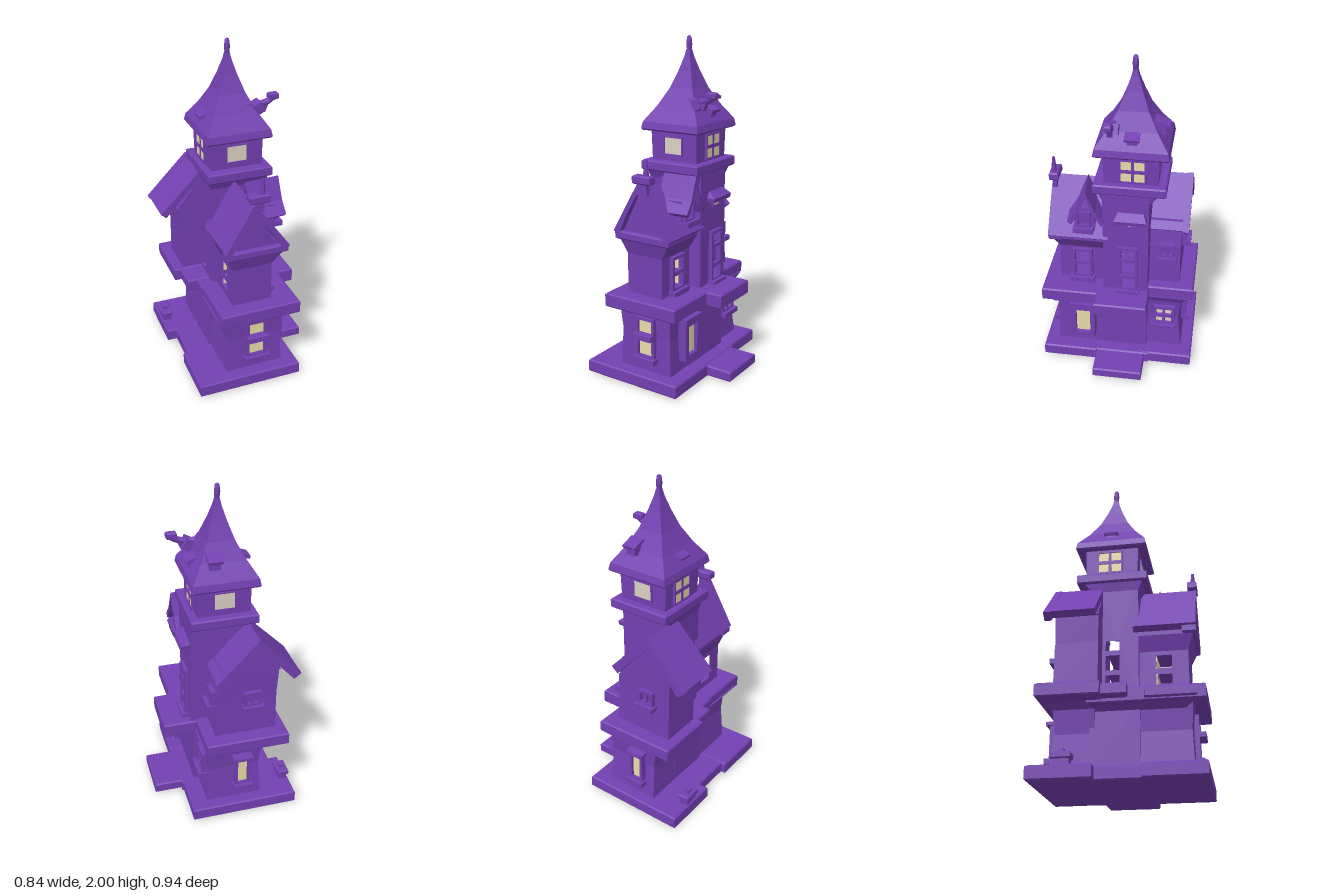
import * as THREE from 'three';

const mat = (name, color) => {
  const m = new THREE.MeshStandardMaterial({ color });
  m.name = name;
  return m;
};

export function createModel() {
  const purple = mat('purple plaster', 0x7340b2);
  const glow = mat('yellow glass', 0xf0e6b0);
  const pale = mat('pale glass', 0xdad2c4);
  const root = new THREE.Group();
  root.name = 'crookedTowerHouse';

  const add = (name, geo, material = purple, parent = root) => {
    const m = new THREE.Mesh(geo, material);
    m.name = name;
    parent.add(m);
    return m;
  };
  const box = (name, x0, x1, y0, y1, z0, z1, parent = root, material = purple) => {
    const m = add(name, new THREE.BoxGeometry(x1 - x0, y1 - y0, z1 - z0), material, parent);
    m.position.set((x0 + x1) / 2, (y0 + y1) / 2, (z0 + z1) / 2);
    return m;
  };

  // Stack of rectangles, each row [y, x0, x1, z0, z1], joined into a closed solid
  const loft = (name, rows) => {
    const rings = rows.map(([y, a, b, c, d]) => [[a, y, d], [b, y, d], [b, y, c], [a, y, c]]);
    const pos = [];
    const quad = (a, b, c, d) => pos.push(...a, ...b, ...c, ...a, ...c, ...d);
    for (let i = 0; i + 1 < rings.length; i++)
      for (let k = 0; k < 4; k++) {
        const n = (k + 1) % 4;
        quad(rings[i][k], rings[i][n], rings[i + 1][n], rings[i + 1][k]);
      }
    quad(...[...rings[0]].reverse());
    quad(...rings[rings.length - 1]);
    const g = new THREE.BufferGeometry();
    g.setAttribute('position', new THREE.Float32BufferAttribute(pos, 3));
    g.computeVertexNormals();
    return add(name, g);
  };
  // Slab with softened top and bottom edges
  const slab = (name, x0, x1, y0, y1, z0, z1, e = 0.008) => loft(name, [
    [y0, x0 + e, x1 - e, z0 + e, z1 - e], [y0 + e, x0, x1, z0, z1],
    [y1 - e, x0, x1, z0, z1], [y1, x0 + e, x1 - e, z0 + e, z1 - e]]);

  // Wall block along x with openings [z0, z1, y0, y1] cut right through
  const piercedWall = (name, x0, x1, z0, z1, y0, y1, holes) => {
    const path = (P, a, b, c, d) => {
      const p = new P();
      p.moveTo(-a, c); p.lineTo(-b, c); p.lineTo(-b, d); p.lineTo(-a, d); p.closePath();
      return p;
    };
    const s = path(THREE.Shape, z0, z1, y0, y1);
    holes.forEach(h => s.holes.push(path(THREE.Path, ...h)));
    const m = add(name, new THREE.ExtrudeGeometry(s, { depth: x1 - x0, bevelEnabled: false }));
    m.rotation.y = Math.PI / 2;
    m.position.x = x0;
  };

  // Gable roof as an extruded chevron with square-cut eaves; ridge runs along local z
  const gable = (name, left, peak, right, t, depth, kick = 0) => {
    const mid = (a) => [(a[0] + peak[0]) / 2, (a[1] + peak[1]) / 2 - kick];
    const top = [left, mid(left), peak, mid(right), right];
    const low = top.map(([x, y], i) => i % 4 ? [x, y - t] : [x + (i ? -0.6 : 0.6) * t, y - t * 0.5]).reverse();
    const s = new THREE.Shape([...top, ...low].map(p => new THREE.Vector2(...p)));
    return add(name, new THREE.ExtrudeGeometry(s, { depth, bevelEnabled: false }));
  };
  const gableWall = (name, x0, x1, y0, px, py, z0, depth) => {
    const s = new THREE.Shape([[x0, y0], [x1, y0], [px, py]].map(p => new THREE.Vector2(...p)));
    add(name, new THREE.ExtrudeGeometry(s, { depth, bevelEnabled: false })).position.z = z0;
  };

  // Framed window facing local +z; bars are fractions of the width and height
  const windowAt = (name, [x, y, z], turn, w, h, { glass = null, cols = [], rows = [], sill = true, f = 0.018, d = 0.024 } = {}) => {
    const g = new THREE.Group();
    g.name = name;
    g.position.set(x, y, z);
    g.rotation.y = turn * Math.PI / 2;
    root.add(g);
    for (const s of [-1, 1]) {
      const sx = s * (w / 2 + f / 2), sy = s * (h / 2 + f / 2);
      box('frameSide', sx - f / 2, sx + f / 2, -h / 2 - f, h / 2 + f, -0.01, d, g);
      box('frameRail', -w / 2, w / 2, sy - f / 2, sy + f / 2, -0.01, d, g);
    }
    cols.forEach(c => box('mullion', w * (c - 0.5) - 0.008, w * (c - 0.5) + 0.008, -h / 2, h / 2, 0, d * 0.8, g));
    rows.forEach(r => box('crossbar', -w / 2, w / 2, h * (r - 0.5) - 0.01, h * (r - 0.5) + 0.01, 0, d, g));
    if (sill) box('sill', -w / 2 - 0.03, w / 2 + 0.03, -h / 2 - 0.04, -h / 2 - 0.01, -0.01, d + 0.025, g);
    if (glass) box('pane', -w / 2, w / 2, -h / 2, h / 2, 0.001, 0.006, g, glass);
  };

  // Base terrace
  slab('baseFront', -0.38, 0.26, 0, 0.08, 0.13, 0.47);
  slab('baseMiddle', -0.35, 0.25, 0, 0.078, -0.2, 0.2);
  slab('baseBack', -0.41, 0.24, 0, 0.08, -0.47, -0.12);
  slab('baseSideStep', 0.2, 0.42, 0.005, 0.07, -0.175, 0.13);
  box('terraceBlock', -0.4, -0.35, 0.07, 0.12, -0.33, -0.24);
  slab('terraceBlockCap', -0.41, -0.34, 0.11, 0.145, -0.34, -0.23, 0.006);
  box('terraceKnob', -0.39, -0.36, 0.14, 0.165, -0.3, -0.27);

  // Ground floor
  loft('groundFront', [[0.07, -0.19, 0.17, 0.05, 0.39], [0.3, -0.175, 0.16, 0.05, 0.38], [0.47, -0.19, 0.17, 0.05, 0.39]]);
  loft('groundTower', [[0.07, -0.2, 0.17, -0.18, 0.1], [0.47, -0.19, 0.17, -0.18, 0.1]]);
  loft('groundBack', [[0.07, -0.2, 0.14, -0.4, -0.15], [0.3, -0.19, 0.12, -0.375, -0.15], [0.47, -0.21, 0.14, -0.39, -0.15]]);

  // Belt slabs between the floors
  slab('beltFront', -0.24, 0.25, 0.455, 0.54, 0.1, 0.465);
  slab('beltSide', -0.25, 0.35, 0.45, 0.54, -0.19, 0.13);
  slab('beltBack', -0.35, 0.15, 0.47, 0.55, -0.46, -0.1);
  slab('beltLeft', -0.31, -0.15, 0.475, 0.545, -0.14, 0.04);
  loft('beltUnderside', [[0.42, -0.19, 0.13, -0.38, 0.35], [0.48, -0.25, 0.16, -0.43, 0.42]]);

  // Upper storeys, with openings through the front room and the tower
  piercedWall('upperFront', -0.14, 0.1, 0.08, 0.37, 0.53, 0.88, [[0.185, 0.275, 0.58, 0.64], [0.185, 0.275, 0.675, 0.755]]);
  // Lit inner faces seen through the front room openings
  for (const [y0, y1] of [[0.58, 0.64], [0.675, 0.755]])
    box('litReveal', -0.13, 0.09, y0, y1, 0.185, 0.189, root, glow);
  loft('upperFrontFlare', [[0.78, -0.14, 0.1, 0.08, 0.37], [0.87, -0.17, 0.16, 0.08, 0.4], [0.92, -0.17, 0.16, 0.08, 0.4]]);
  slab('gableBeam', -0.19, 0.18, 0.87, 0.92, 0.34, 0.42);
  piercedWall('towerShaft', -0.17, 0.18, -0.18, 0.09, 0.53, 1.25,
    [[-0.1, -0.02, 0.57, 0.64], [-0.1, -0.02, 0.67, 0.76], [-0.1, -0.02, 0.79, 0.85]]);
  loft('upperBack', [[0.53, -0.29, 0.08, -0.37, -0.12], [0.8, -0.29, 0.07, -0.365, -0.12], [0.99, -0.3, 0.04, -0.37, -0.12]]);

  // Gable roofs with their end walls
  gable('frontRoof', [-0.2, 0.92], [-0.03, 1.21], [0.19, 0.91], 0.055, 0.36).position.z = 0.06;
  gableWall('frontGable', -0.16, 0.14, 0.9, -0.03, 1.16, 0.08, 0.31);
  gable('backRoof', [-0.415, 0.945], [-0.165, 1.195], [0.08, 0.94], 0.055, 0.28).position.z = -0.4;
  gable('backFascia', [-0.42, 0.94], [-0.165, 1.2], [0.085, 0.935], 0.07, 0.04).position.z = -0.41;
  gableWall('backGable', -0.31, 0.0, 0.96, -0.165, 1.15, -0.37, 0.25);

  // Side dormer on the front roof
  box('dormerWall', 0.0, 0.16, 0.92, 1.1, 0.14, 0.26);
  const dormer = gable('dormerRoof', [-0.11, 1.04], [0, 1.24], [0.11, 1.03], 0.04, 0.21, 0.03);
  dormer.rotation.y = Math.PI / 2 + 0.08;
  dormer.position.set(0, 0, 0.2);

  // Post on the front ridge
  slab('ridgePostCap', -0.06, 0.06, 1.21, 1.26, 0.37, 0.425);
  box('ridgePostFoot', -0.02, 0.03, 1.15, 1.22, 0.385, 0.41);
  const spike = add('ridgeSpike', new THREE.CylinderGeometry(0.008, 0.018, 0.1, 6));
  spike.position.set(0.02, 1.3, 0.4);

  // Lookout room and its swept roof
  slab('lookoutBelt', -0.2, 0.19, 1.225, 1.285, -0.275, 0.145);
  loft('lookoutCorbel', [[1.17, -0.17, 0.17, -0.18, 0.09], [1.24, -0.185, 0.18, -0.24, 0.12]]);
  loft('lookoutRoom', [[1.27, -0.16, 0.145, -0.225, 0.085], [1.47, -0.165, 0.15, -0.23, 0.09]]);
  const profile = [[1.46, 0.96], [1.47, 1], [1.51, 0.96], [1.6, 0.66], [1.7, 0.4], [1.8, 0.22], [1.88, 0.1], [1.92, 0.06]];
  loft('lookoutRoof', profile.map(([y, s]) => [y, -0.007 - 0.195 * s, -0.007 + 0.195 * s, -0.072 - 0.215 * s, -0.072 + 0.215 * s]));
  const finial = add('finial', new THREE.LatheGeometry(
    [[0, 0], [0.012, 0], [0.018, 0.05], [0.013, 0.09], [0, 0.1]].map(p => new THREE.Vector2(...p)), 8));
  finial.position.set(-0.007, 1.9, -0.072);

  // Small vents on three roof slopes
  const vent = (x, y, z, turn) => {
    const g = new THREE.Group();
    g.name = 'roofVent';
    g.position.set(x, y, z);
    g.rotation.y = turn * Math.PI / 2;
    root.add(g);
    box('ventBody', -0.03, 0.03, -0.03, 0.03, -0.07, 0.01, g);
    box('ventHood', -0.042, 0.042, 0.025, 0.042, -0.06, 0.03, g).rotation.x = 0.35;
  };
  vent(0.15, 1.555, -0.075, 1);
  vent(-0.16, 1.545, -0.075, 3);
  vent(0.05, 1.61, -0.245, 2);

  // Perched creature on the roof: neck, wing, legs and beaked head
  const neck = new THREE.CatmullRomCurve3([[0.06, 1.64, 0.03], [0.13, 1.635, 0.04], [0.19, 1.645, 0.045], [0.23, 1.67, 0.045]]
    .map(p => new THREE.Vector3(...p)));
  add('creatureBody', new THREE.TubeGeometry(neck, 10, 0.02, 6));
  slab('creatureHead', 0.195, 0.255, 1.655, 1.695, 0.025, 0.065);
  box('creatureWing', 0.11, 0.16, 1.59, 1.65, 0.0, 0.08).rotation.z = 0.5;
  box('creatureFoot', 0.16, 0.185, 1.59, 1.65, 0.03, 0.06).rotation.z = -0.4;

  // Awning on the tower side
  loft('towerAwning', [[1.05, 0.16, 0.225, -0.165, 0.015], [1.075, 0.16, 0.23, -0.17, 0.02], [1.11, 0.16, 0.185, -0.15, 0.0]]);

  // Windows
  windowAt('frontDoorWindow', [0, 0.29, 0.385], 0, 0.095, 0.22, { glass: glow, rows: [0.52] });
  box('frontWindowLedge', -0.065, 0.065, 0.29, 0.32, 0.38, 0.445);
  windowAt('sideGroundWindow', [0.185, 0.27, 0.22], 1, 0.09, 0.18, { glass: glow, f: 0.03, d: 0.03, sill: false });
  box('sideGroundWindowBack', 0.15, 0.186, 0.15, 0.4, 0.145, 0.295);
  box('sideWindowLintel', 0.15, 0.225, 0.385, 0.415, 0.14, 0.3);
  windowAt('sideBackWindow', [0.135, 0.33, -0.285], 1, 0.095, 0.105, { glass: pale, cols: [0.5], rows: [0.5] });
  windowAt('backGroundWindow', [-0.08, 0.28, -0.395], 2, 0.06, 0.17, { glass: glow });
  box('backWindowHood', -0.14, -0.02, 0.375, 0.395, -0.44, -0.37);
  windowAt('backUpperWindow', [-0.14, 0.79, -0.37], 2, 0.07, 0.06, { cols: [0.5] });
  windowAt('sideUpperBackWindow', [0.075, 0.79, -0.285], 1, 0.06, 0.06, { cols: [0.5] });
  windowAt('frontRoomWindow', [0.1, 0.667, 0.23], 1, 0.09, 0.175, { rows: [0.52] });
  windowAt('towerSideWindow', [0.18, 0.71, -0.06], 1, 0.08, 0.28, { rows: [0.3, 0.73] });
  windowAt('towerSlitWindow', [0.18, 1.045, -0.07], 1, 0.06, 0.05, { glass: glow, sill: false, f: 0.01, d: 0.012 });
  windowAt('dormerWindow', [0.16, 1.035, 0.205], 1, 0.06, 0.08, { f: 0.014 });
  windowAt('lookoutFront', [-0.01, 1.375, 0.087], 0, 0.115, 0.095, { glass: pale, sill: false, f: 0.008, d: 0.01 });
  windowAt('lookoutBack', [-0.01, 1.375, -0.228], 2, 0.115, 0.095, { glass: pale, sill: false, f: 0.008, d: 0.01 });
  for (const s of [-1, 1])
    windowAt('lookoutSide', [s > 0 ? 0.149 : -0.164, 1.37, -0.08], s, 0.135, 0.13,
      { glass: glow, cols: [0.5], rows: [0.5], sill: false, f: 0.01, d: 0.012 });

  return root;
}
